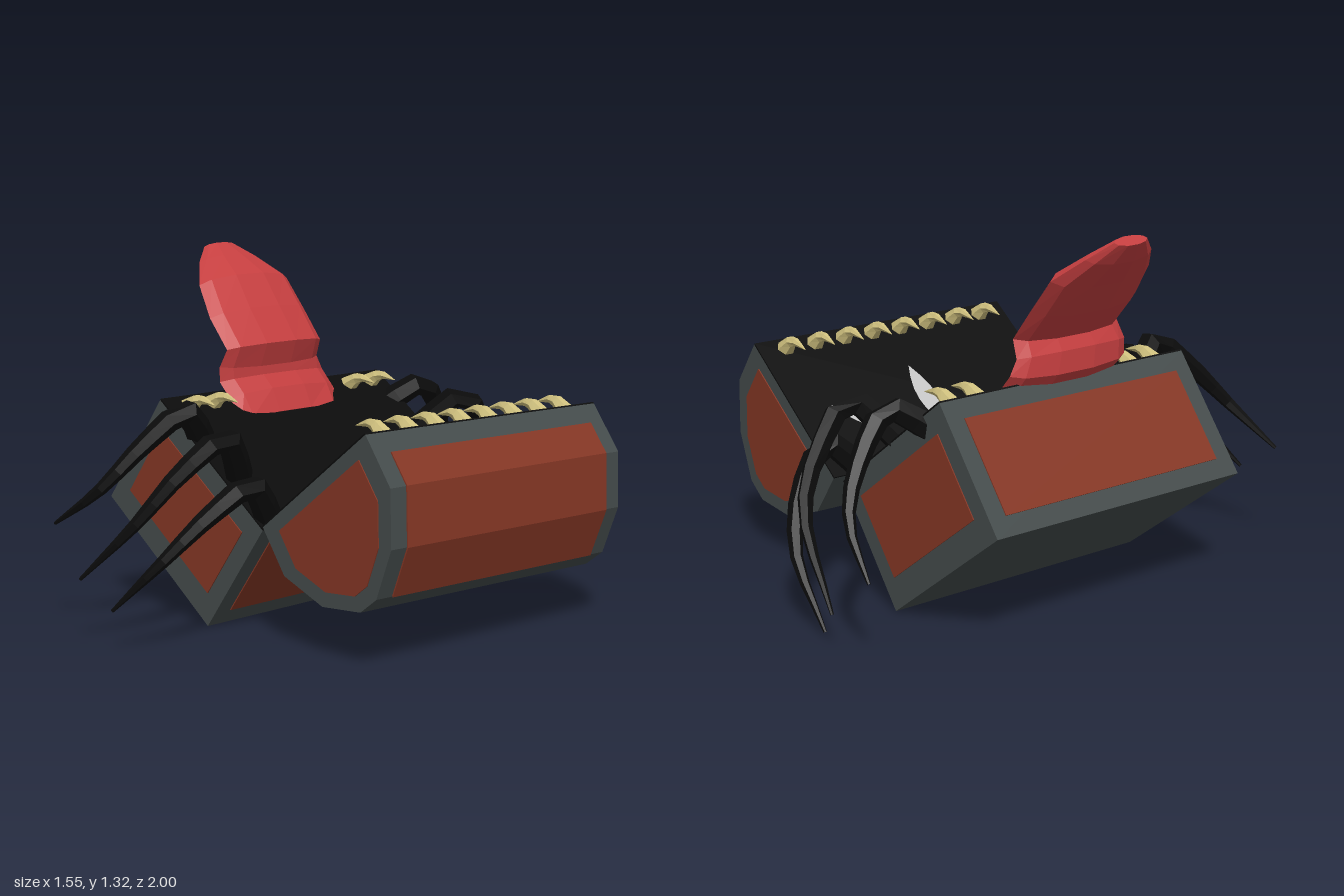
import * as THREE from 'three';

const paint = (name, color) => {
  const m = new THREE.MeshStandardMaterial({ color, flatShading: true });
  m.name = name;
  return m;
};
const V = (x, y, z) => new THREE.Vector3(x, y, z);

export function createModel() {
  const iron = paint('iron grey', 0x454c4c);
  const wood = paint('wood brown', 0x863725);
  const black = paint('black', 0x0b0b0b);
  const red = paint('tongue red', 0xc63f40);
  const bone = paint('tooth bone', 0xcfc07e);
  const white = paint('eye white', 0xc4c4c4);

  const model = new THREE.Group();
  const add = (parent, name, geometry, material, x = 0, y = 0, z = 0) => {
    const mesh = new THREE.Mesh(geometry, material);
    mesh.name = name;
    mesh.position.set(x, y, z);
    parent.add(mesh);
    return mesh;
  };

  // Prism: outline in xy, centred along z
  const prism = (points, depth) => {
    const shape = new THREE.Shape(points.map(([x, y]) => new THREE.Vector2(x, y)));
    return new THREE.ExtrudeGeometry(shape, { depth, bevelEnabled: false }).translate(0, 0, -depth / 2);
  };

  // Tube along points whose radius is radius(t), t from 0 to 1
  const taper = (points, radius, segments, sides) => {
    const curve = new THREE.CatmullRomCurve3(points);
    const g = new THREE.TubeGeometry(curve, segments, 1, sides);
    const p = g.attributes.position;
    const v = V(0, 0, 0);
    for (let i = 0; i < p.count; i++) {
      const t = Math.floor(i / (sides + 1)) / segments;
      const c = curve.getPointAt(t);
      v.fromBufferAttribute(p, i).sub(c).multiplyScalar(radius(t)).add(c);
      p.setXYZ(i, v.x, v.y, v.z);
    }
    g.computeVertexNormals();
    return g;
  };

  // Curved fang in the xy plane of a chest half
  const fang = (parent, points, z) => add(parent, 'tooth',
    taper(points.map(([x, y]) => V(x, y, z)), t => 0.036 * (1 - t) + 0.001, 5, 6), bone);

  // Chest base, tipped onto its lower back edge
  const L = 0.67, H = 0.49, W = 1.12;
  const base = new THREE.Group();
  base.name = 'chestBase';
  base.position.set(-0.75, 0.4, -0.05);
  base.rotation.z = -0.639;
  model.add(base);
  add(base, 'baseFrame', new THREE.BoxGeometry(L, H, W), iron, L / 2, H / 2);
  add(base, 'baseEndPanels', new THREE.BoxGeometry(0.53, 0.31, W + 0.008), wood, 0.335, 0.255);
  add(base, 'baseLongPanels', new THREE.BoxGeometry(L + 0.008, 0.35, 0.98), wood, L / 2, H / 2);
  add(base, 'baseDarkOpening', new THREE.BoxGeometry(L, 0.006, W), black, L / 2, H + 0.003);
  for (const z of [-0.475, -0.36, 0.35, 0.46]) {
    fang(base, [[0.05, H - 0.01], [0.08, H + 0.06], [0.155, H + 0.1]], z);
  }

  // Lid, swung wide open and slightly askew
  const lid = new THREE.Group();
  lid.name = 'chestLid';
  lid.position.set(0.11, 0.4, -0.05);
  lid.rotation.set(-0.01, -0.053, 0.6435, 'YXZ');
  model.add(lid);
  const dome = [[0, 0], [0, -0.19], [0.115, -0.365], [0.275, -0.465],
    [0.37, -0.465], [0.53, -0.365], [0.645, -0.2], [0.645, 0]];
  add(lid, 'lidFrame', prism(dome, W), iron);
  const inset = dome.map(([x, y]) => [0.32 + (x - 0.32) * 0.77, -0.225 + (y + 0.225) * 0.77]);
  add(lid, 'lidEndPanels', prism(inset, W + 0.008), wood);
  add(lid, 'lidDomePanel', prism([[0.4, -0.25], [0.372, -0.469], [0.534, -0.369],
    [0.65, -0.201], [0.65, -0.075], [0.6, -0.075]], 0.98), wood);
  add(lid, 'lidDarkOpening', new THREE.BoxGeometry(0.645, 0.006, W), black, 0.3225, 0.003);
  for (let i = 0; i < 8; i++) {
    fang(lid, [[0.6, -0.01], [0.58, 0.065], [0.5, 0.105]], -0.45 + i * 0.127);
  }

  // Leaf-shaped eyes: centre u, z, direction du, dz, half width
  for (const [u, z, du, dz, w] of [
    [0.23, -0.325, 0.15, -0.17, 0.055],
    [0.275, -0.005, 0.28, 0, 0.085],
    [0.185, 0.32, 0.13, 0.17, 0.055],
  ]) {
    const len = Math.hypot(du, dz) / 2;
    const leaf = new THREE.Shape();
    leaf.moveTo(-len, 0);
    leaf.quadraticCurveTo(-len * 0.3, -w, len, 0);
    leaf.quadraticCurveTo(-len * 0.3, w, -len, 0);
    const eye = add(lid, 'eye', new THREE.ShapeGeometry(leaf, 6)
      .rotateZ(Math.atan2(-dz, du)).rotateX(-Math.PI / 2), white, u, 0.01, z);
    eye.material.side = THREE.DoubleSide;
  }

  // Tongue sections: x, y, centre z, half width, half thickness
  const tongue = [
    [-0.35, 0.7, -0.05, 0.26, 0.02], [-0.41, 0.77, -0.05, 0.265, 0.045],
    [-0.455, 0.83, -0.04, 0.265, 0.045], [-0.455, 0.885, -0.025, 0.25, 0.04],
    [-0.43, 0.95, -0.03, 0.24, 0.045], [-0.52, 1.06, -0.03, 0.242, 0.05],
    [-0.615, 1.175, -0.045, 0.225, 0.05], [-0.7, 1.25, -0.045, 0.15, 0.035],
    [-0.755, 1.305, -0.045, 0.075, 0.02],
  ];
  const last = tongue.length - 1;
  const tg = new THREE.CylinderGeometry(1, 1, 1, 10, last);
  const tp = tg.attributes.position;
  for (let i = 0; i < tp.count; i++) {
    const k = Math.round((tp.getY(i) + 0.5) * last);
    const [x, y, z, w, th] = tongue[k];
    const a = tongue[Math.max(k - 1, 0)], b = tongue[Math.min(k + 1, last)];
    const d = Math.hypot(b[0] - a[0], b[1] - a[1]);
    const n = tp.getX(i) * th / d;
    tp.setXYZ(i, x + n * (b[1] - a[1]), y - n * (b[0] - a[0]), z + tp.getZ(i) * w);
  }
  tg.computeVertexNormals();
  add(model, 'tongue', tg, red);

  // Six spidery legs, root to tip
  const legs = [
    [[-0.3, 0.66, 0.45], [-0.25, 0.78, 0.57], [-0.3, 0.68, 0.71], [-0.385, 0.52, 0.85], [-0.58, 0.38, 0.9]],
    [[-0.1, 0.55, 0.45], [-0.04, 0.71, 0.57], [-0.08, 0.61, 0.73], [-0.17, 0.43, 0.87], [-0.325, 0.235, 0.99]],
    [[0.05, 0.42, 0.45], [0.09, 0.56, 0.57], [0.05, 0.47, 0.73], [-0.02, 0.33, 0.87], [-0.165, 0.15, 0.98]],
    [[-0.38, 0.66, -0.55], [-0.29, 0.75, -0.69], [-0.32, 0.62, -0.83], [-0.4, 0.45, -0.94], [-0.55, 0.28, -0.975]],
    [[-0.2, 0.58, -0.55], [-0.06, 0.73, -0.68], [-0.07, 0.6, -0.81], [-0.14, 0.42, -0.93], [-0.375, 0.13, -0.995]],
    [[0, 0.42, -0.55], [0.07, 0.55, -0.68], [0.04, 0.44, -0.81], [-0.05, 0.25, -0.91], [-0.235, 0.01, -0.925]],
  ];
  for (const points of legs) {
    add(model, 'leg', taper(points.map(p => V(...p)),
      t => 0.05 - 0.044 * t ** 1.3, 10, 6), black);
  }

  return model;
}
